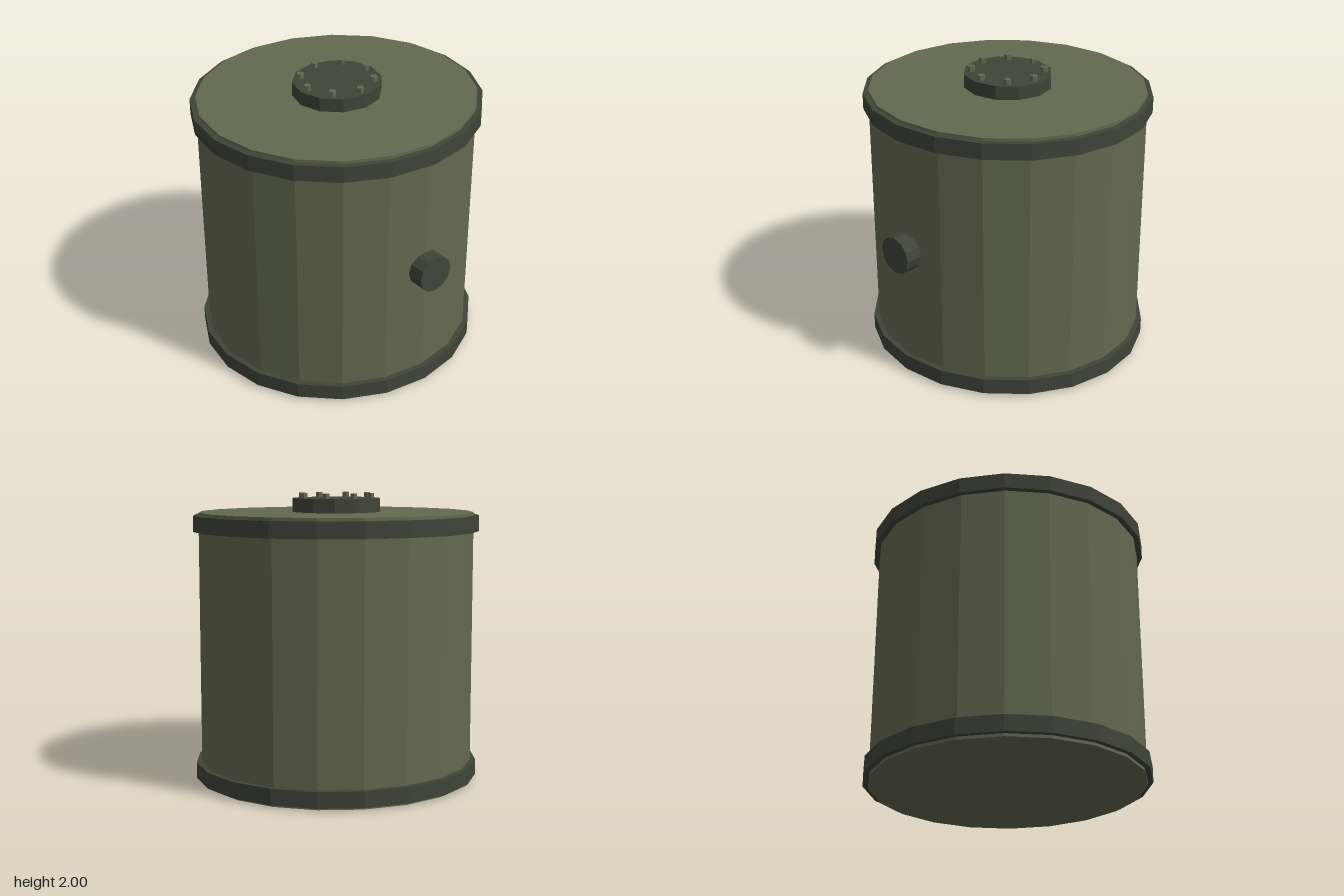
import * as THREE from 'three';

export function createModel() {
  const model = new THREE.Group();
  const olive = new THREE.MeshStandardMaterial({ name: 'olive paint', color: 0x636850, flatShading: true });
  const dark = new THREE.MeshStandardMaterial({ name: 'dark olive paint', color: 0x3f4438, flatShading: true });

  // The tank is slightly narrower across x than along z
  const tank = new THREE.Group();
  tank.name = 'tank';
  tank.position.x = -0.03;
  tank.scale.x = 0.973;
  model.add(tank);

  // Upright faceted cylinder from y0 to y1
  function drum(name, radius, y0, y1, sides, material, x = 0, z = 0) {
    const mesh = new THREE.Mesh(new THREE.CylinderGeometry(radius, radius, y1 - y0, sides), material);
    mesh.name = name;
    mesh.position.set(x, (y0 + y1) / 2, z);
    tank.add(mesh);
    return mesh;
  }

  drum('body', 0.96, 0, 1.87, 20, olive);
  drum('lowerBand', 0.998, 0.02, 0.13, 20, dark);
  drum('upperBand', 0.998, 1.74, 1.85, 20, dark);
  drum('hatch', 0.306, 1.86, 1.965, 12, dark);

  // Ring of hexagonal bolts on the hatch
  for (let i = 0; i < 8; i++) {
    const a = (i * Math.PI) / 4;
    drum('hatchBolt', 0.026, 1.955, 2, 6, olive, 0.25 * Math.sin(a), 0.25 * Math.cos(a));
  }

  // Outlet stub on the left side
  const outlet = new THREE.Mesh(new THREE.CylinderGeometry(0.132, 0.132, 0.18, 12), dark);
  outlet.name = 'outlet';
  outlet.rotation.z = -Math.PI / 2;
  outlet.scale.x = 0.973;
  outlet.position.set(0.91, 0.936, 0);
  model.add(outlet);

  return model;
}
